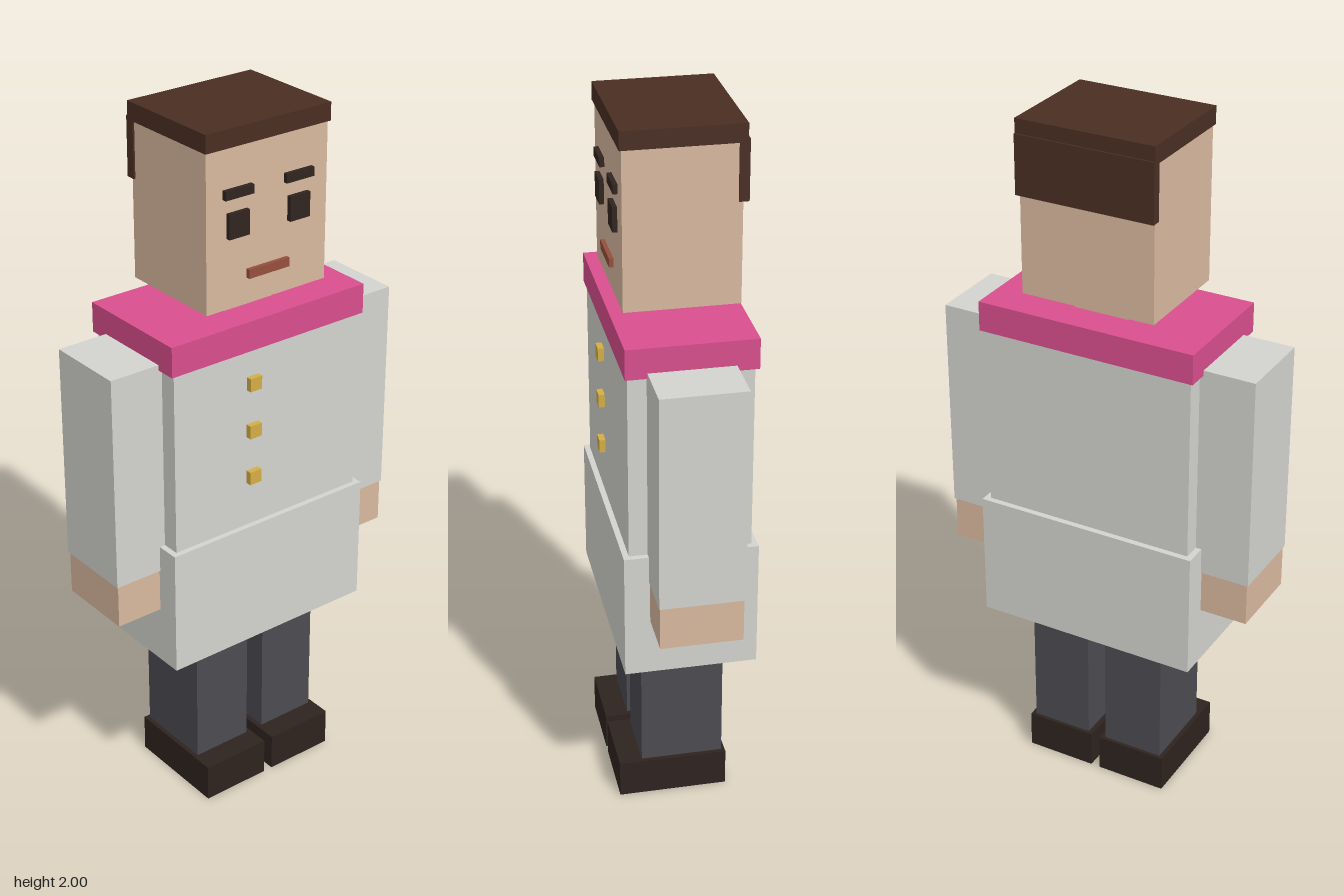
import * as THREE from 'three';

const material = (color) => new THREE.MeshStandardMaterial({ color, flatShading: true });

export function createModel() {
  const model = new THREE.Group();
  const skin = material(0xd9b99f);
  const hair = material(0x4a2e23);
  const dark = material(0x30241f);
  const coat = material(0xd3d4cf);
  const pink = material(0xd94f8d);
  const trousers = material(0x4b4b51);
  const shoe = material(0x2e231f);
  const lip = material(0x95503c);
  const gold = material(0xd4ae45);

  // Box given by its extents on each axis
  function block(name, mat, [x0, x1], [y0, y1], [z0, z1]) {
    const mesh = new THREE.Mesh(new THREE.BoxGeometry(x1 - x0, y1 - y0, z1 - z0), mat);
    mesh.position.set((x0 + x1) / 2, (y0 + y1) / 2, (z0 + z1) / 2);
    mesh.name = name;
    model.add(mesh);
  }

  // The same box on the left (+x) and mirrored on the right (-x)
  function pair(name, mat, [x0, x1], y, z) {
    block('left' + name, mat, [x0, x1], y, z);
    block('right' + name, mat, [-x1, -x0], y, z);
  }

  // Head, hair and neck
  block('head', skin, [-0.195, 0.195], [1.515, 1.955], [-0.155, 0.155]);
  block('hairCap', hair, [-0.2, 0.2], [1.95, 2], [-0.165, 0.161]);
  block('backHair', hair, [-0.2, 0.2], [1.795, 1.96], [-0.17, -0.143]);
  block('neck', skin, [-0.08, 0.08], [1.45, 1.53], [-0.08, 0.08]);

  // Face
  pair('Eye', dark, [0.066, 0.131], [1.71, 1.778], [0.15, 0.168]);
  pair('Eyebrow', dark, [0.053, 0.143], [1.817, 1.842], [0.15, 0.168]);
  block('mouth', lip, [-0.066, 0.066], [1.587, 1.612], [0.15, 0.167]);

  // Coat
  block('collar', pink, [-0.32, 0.32], [1.385, 1.47], [-0.177, 0.174]);
  block('coatBody', coat, [-0.31, 0.31], [0.84, 1.4], [-0.167, 0.167]);
  block('coatSkirt', coat, [-0.327, 0.327], [0.495, 0.86], [-0.184, 0.183]);
  for (const y of [1.29, 1.15, 1.01]) {
    block('button', gold, [-0.073, -0.035], [y - 0.019, y + 0.019], [0.16, 0.184]);
  }

  // Arms and legs
  pair('Sleeve', coat, [0.305, 0.468], [0.785, 1.4], [-0.117, 0.116]);
  pair('Hand', skin, [0.309, 0.464], [0.66, 0.79], [-0.113, 0.113]);
  pair('Leg', trousers, [0.028, 0.208], [0.1, 0.51], [-0.117, 0.117]);
  pair('Shoe', shoe, [0.014, 0.221], [0, 0.11], [-0.127, 0.183]);

  return model;
}
